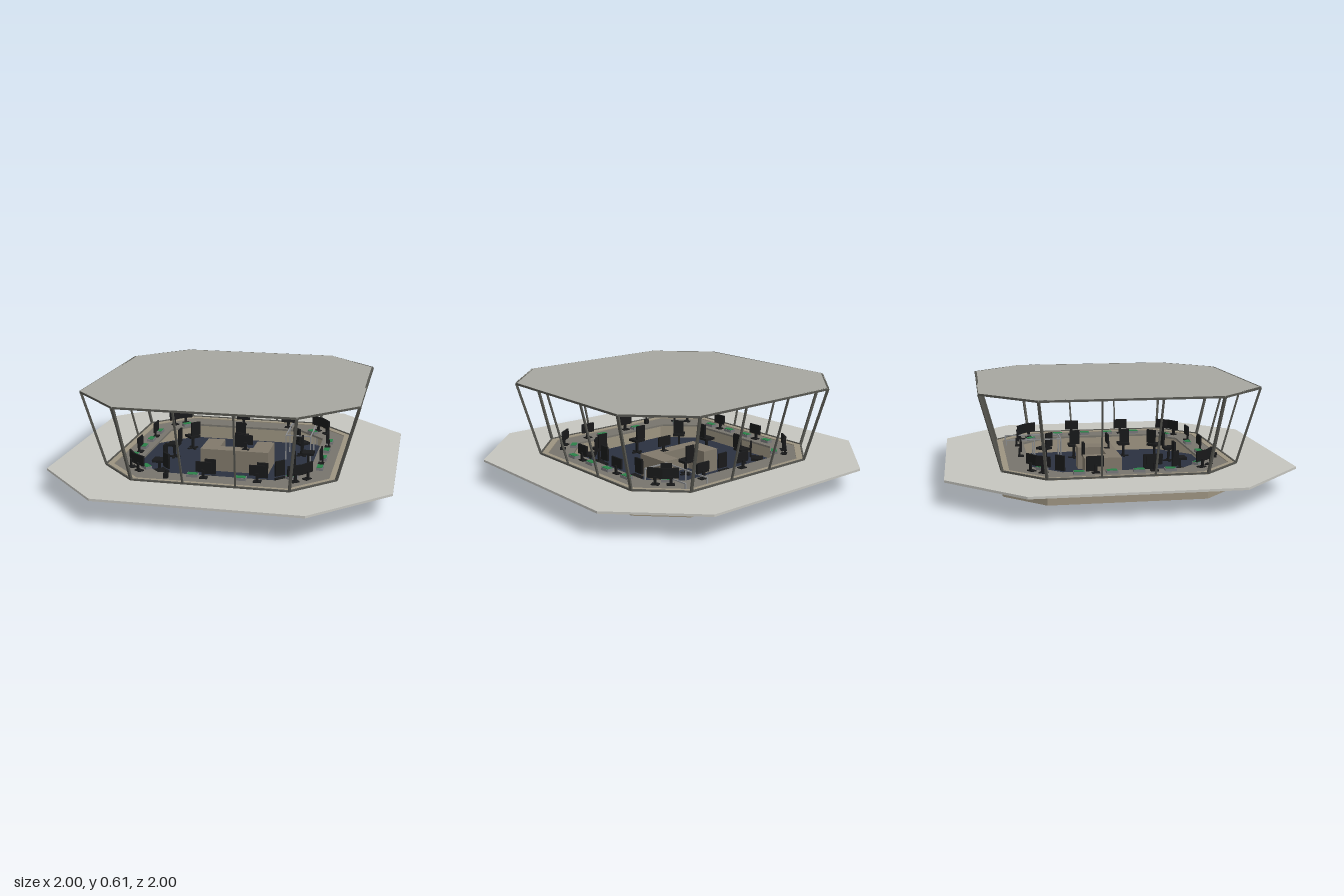
import * as THREE from 'three';

const mat = (color) => new THREE.MeshStandardMaterial({ color, flatShading: true, side: THREE.DoubleSide });
const M = {
  deck: mat(0xc4c4be), roof: mat(0xa6a69f), wall: mat(0x9c9380), frame: mat(0x55554f),
  floor: mat(0x2a3140), desk: mat(0x77746c), black: mat(0x18191a), cabinet: mat(0x80786a),
  key: mat(0x77777a), green: mat(0x2a8048), rail: mat(0x8a8c8e),
};

// Corners of a square of half size h with chamfers starting at c
const corners = (h, c) => [[-c, h], [c, h], [h, c], [h, -c], [c, -h], [-c, -h], [-h, -c], [-h, c]];
const octPath = (h, c) => corners(h, c).map(([x, z]) => new THREE.Vector2(x, z));

// Octagonal slab between two heights, with an optional octagonal hole
function slab(name, material, outer, y0, y1, hole) {
  const shape = new THREE.Shape(octPath(...outer));
  if (hole) shape.holes.push(new THREE.Path(octPath(...hole)));
  const geo = new THREE.ExtrudeGeometry(shape, { depth: y1 - y0, bevelEnabled: false });
  geo.rotateX(-Math.PI / 2);
  const mesh = new THREE.Mesh(geo, material);
  mesh.position.y = y0;
  mesh.name = name;
  return mesh;
}

function box(name, material, w, h, d, x, y, z) {
  const mesh = new THREE.Mesh(new THREE.BoxGeometry(w, h, d), material);
  mesh.position.set(x, y, z);
  mesh.name = name;
  return mesh;
}

// Square bar between two points
function bar(name, material, a, b, t) {
  const p = new THREE.Vector3(...a), q = new THREE.Vector3(...b);
  const mesh = new THREE.Mesh(new THREE.BoxGeometry(t, t, p.distanceTo(q)), material);
  mesh.position.copy(p).add(q).multiplyScalar(0.5);
  mesh.lookAt(q);
  mesh.name = name;
  return mesh;
}

// Place a group on the floor plan, turned so its local +z points outwards
function place(group, x, y, z, turn) {
  group.position.set(x, y, z);
  group.rotation.y = turn;
  return group;
}

function monitor(w = 0.09) {
  const g = new THREE.Group();
  g.name = 'monitor';
  g.add(box('screen', M.black, w, 0.06, 0.01, 0, 0.068, 0));
  g.add(box('stand', M.black, 0.016, 0.05, 0.01, 0, 0.027, 0.008));
  g.add(box('foot', M.black, 0.045, 0.006, 0.035, 0, 0.004, 0));
  return g;
}

function keypad() {
  const g = new THREE.Group();
  g.name = 'keypad';
  g.add(box('keypadBody', M.key, 0.065, 0.016, 0.04, 0, 0.008, 0));
  g.add(box('keypadTop', M.green, 0.058, 0.003, 0.034, 0, 0.0175, 0));
  return g;
}

function chair() {
  const g = new THREE.Group();
  g.name = 'chair';
  g.add(box('chairSeat', M.black, 0.075, 0.015, 0.075, 0, 0.09, 0));
  g.add(box('chairBack', M.black, 0.065, 0.09, 0.012, 0, 0.15, -0.04));
  g.add(box('chairPost', M.black, 0.014, 0.08, 0.014, 0, 0.045, 0));
  g.add(box('chairBase', M.black, 0.075, 0.008, 0.014, 0, 0.006, 0));
  g.add(box('chairBase', M.black, 0.014, 0.008, 0.075, 0, 0.006, 0));
  return g;
}

export function createModel() {
  const model = new THREE.Group();
  model.name = 'controlCab';

  // Base, walkway and roof
  model.add(slab('floor', M.floor, [0.64, 0.43], 0, 0.016));
  model.add(slab('baseWall', M.wall, [0.68, 0.45], 0.008, 0.155, [0.64, 0.43]));
  model.add(slab('walkway', M.deck, [1, 0.58], 0.135, 0.148, [0.675, 0.447]));
  model.add(slab('desk', M.desk, [0.641, 0.431], 0.138, 0.15, [0.51, 0.345]));
  model.add(slab('roof', M.roof, [0.803, 0.503], 0.6, 0.606));

  // Leaning window frame
  const y0 = 0.155, y1 = 0.6;
  const low = corners(0.68, 0.45), high = corners(0.8, 0.5);
  const at = (p, y) => [p[0], y, p[1]];
  low.forEach((p, i) => {
    const j = (i + 1) % 8;
    model.add(bar('cornerMullion', M.frame, at(p, y0), at(high[i], y1), 0.014));
    model.add(bar('sill', M.frame, at(p, y0), at(low[j], y0), 0.01));
    model.add(bar('headRail', M.frame, at(high[i], y1), at(high[j], y1), 0.012));
  });
  for (let side = 0; side < 4; side++) {
    const g = new THREE.Group();
    g.name = 'windowSide';
    for (const s of [-1, 1]) {
      g.add(bar('mullion', M.frame, [s * 0.15, y0, 0.68], [s * 0.165, y1, 0.8], 0.01));
    }
    g.rotation.y = side * Math.PI / 2;
    model.add(g);
  }

  // Corner workstations
  const top = 0.15;
  for (const sx of [-1, 1]) for (const sz of [-1, 1]) {
    const turn = Math.atan2(sx, sz);
    model.add(place(monitor(), sx * 0.515, top, sz * 0.455, turn + 0.2 * sx * sz));
    model.add(place(monitor(), sx * 0.455, top, sz * 0.515, turn - 0.2 * sx * sz));
    model.add(place(keypad(), sx * 0.43, top, sz * 0.455, turn));
    model.add(place(chair(), sx * 0.37, 0.016, sz * 0.37, turn));
  }

  // Side workstations
  for (const s of [-1, 1]) {
    const turn = s * Math.PI / 2;
    for (const z of [-0.165, 0.17]) {
      model.add(place(monitor(), s * 0.56, top, z, turn));
      model.add(place(chair(), s * 0.44, 0.016, z, turn));
    }
    for (const z of [-0.26, -0.075, 0.08, 0.26]) model.add(place(keypad(), s * 0.565, top, z, turn));
  }

  // Front and back workstations
  for (const x of [-0.06, 0.25]) {
    model.add(place(monitor(), x, top, 0.56, 0));
    model.add(place(chair(), x, 0.016, 0.44, 0));
  }
  for (const x of [-0.13, 0.15]) model.add(place(keypad(), x, top, 0.54, 0));
  for (const x of [-0.06, 0.25]) model.add(place(monitor(), x, top, -0.55, Math.PI));
  model.add(place(chair(), -0.045, 0.016, -0.44, Math.PI));
  model.add(box('radio', M.black, 0.025, 0.03, 0.025, -0.27, 0.165, 0.6));
  model.add(box('radioAerial', M.black, 0.008, 0.02, 0.008, -0.27, 0.188, 0.6));

  // Central U-shaped console, open to the back
  model.add(box('consoleFront', M.cabinet, 0.43, 0.14, 0.08, 0.005, 0.086, 0.006));
  for (const s of [-1, 1]) {
    model.add(box('consoleWing', M.cabinet, 0.11, 0.14, 0.146, 0.005 + s * 0.16, 0.086, -0.107));
  }
  model.add(place(monitor(), 0.07, top, 0, 0));
  model.add(place(chair(), 0.0, 0.016, -0.12, 0));

  // Stair guard rail
  for (const x of [0.28, 0.44]) {
    model.add(bar('handrail', M.rail, [x, 0.182, -0.27], [x, 0.182, -0.62], 0.007));
    for (const z of [-0.27, -0.44, -0.62]) {
      model.add(bar('railPost', M.rail, [x, 0.016, z], [x, 0.182, z], 0.007));
    }
  }
  model.add(bar('handrail', M.rail, [0.28, 0.182, -0.27], [0.44, 0.182, -0.27], 0.007));
  return model;
}
